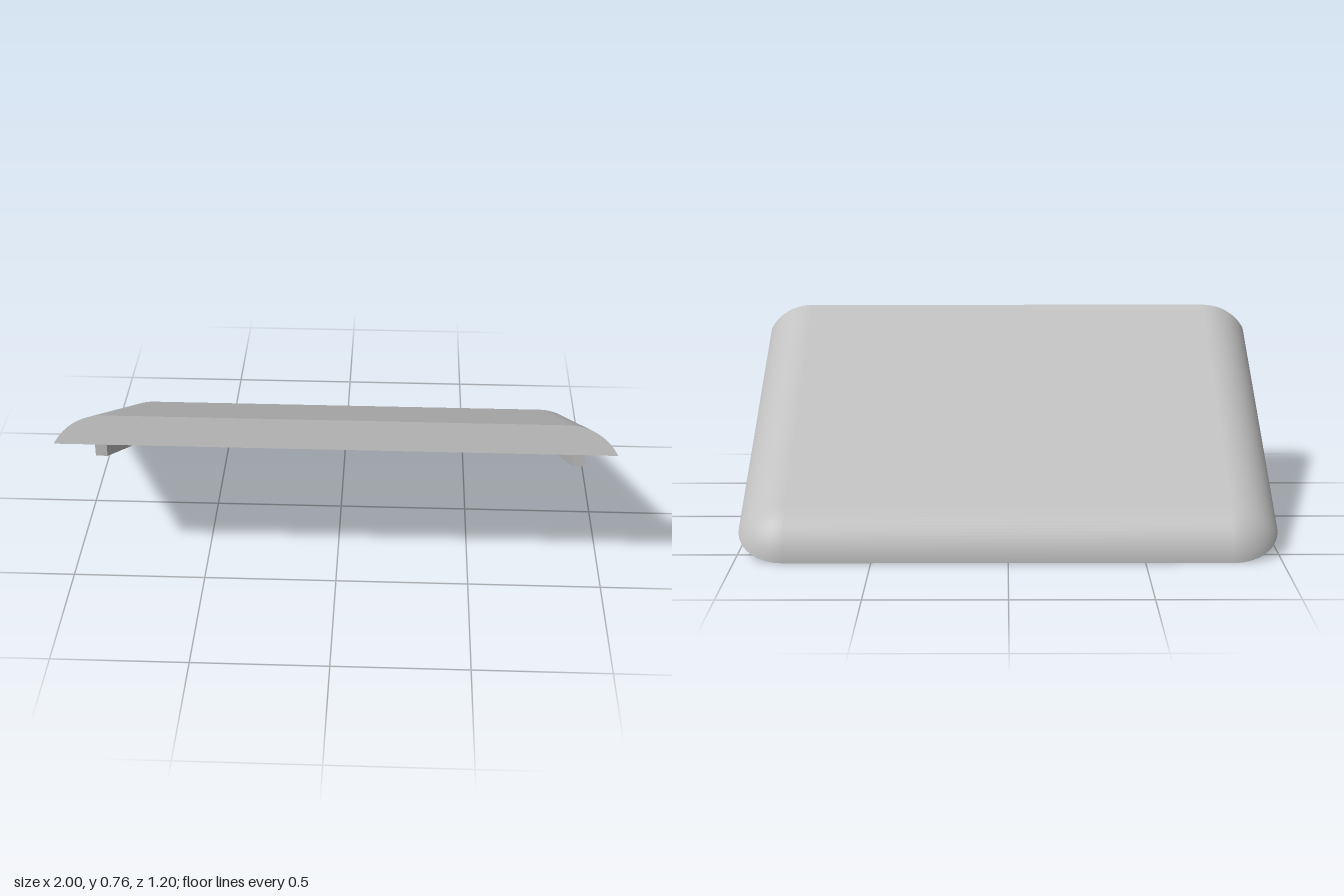
import * as THREE from 'three';

const TILT = Math.atan2(0.655, 1.2);      // slope of the panel
const LENGTH = Math.hypot(0.655, 1.2);    // underside length along the slope
const RADIUS = 0.2026;                    // rounding of the side and back edges
const ARC = Math.PI / 2 - TILT;           // rounding stops where the back edge is vertical
const INSET = RADIUS * Math.sin(ARC);
const RINGS = 16, CORNER = 16;

// Flat convex face from a ring of points, counter-clockwise seen from outside
function flatFace(points, material, name) {
  const pos = [];
  for (let i = 1; i < points.length - 1; i++) {
    for (const p of [points[0], points[i], points[i + 1]]) pos.push(p.x, p.y, p.z);
  }
  const geo = new THREE.BufferGeometry();
  geo.setAttribute('position', new THREE.Float32BufferAttribute(pos, 3));
  geo.computeVertexNormals();
  const mesh = new THREE.Mesh(geo, material);
  mesh.name = name;
  return mesh;
}

// Directions around the rim: front right, back right corner, back left corner, front left
function rimSteps() {
  const steps = [{ side: 1, phi: 0, front: true }];
  for (const side of [1, -1]) {
    for (let i = 0; i <= CORNER; i++) {
      const phi = (side > 0 ? i : CORNER + i) / CORNER * Math.PI / 2;
      steps.push({ side, phi, front: false });
    }
  }
  steps.push({ side: -1, phi: Math.PI, front: true });
  return steps;
}

function buildPanel(material) {
  const panel = new THREE.Group();
  panel.name = 'slopedPanel';
  const steps = rimSteps();
  const rings = [], pos = [], norm = [], index = [];

  // Rings rise from the underside outline to the flat top
  for (let j = 0; j <= RINGS; j++) {
    const theta = ARC * (1 - j / RINGS);
    const rho = RADIUS * Math.sin(theta);
    const h = RADIUS * (Math.cos(theta) - Math.cos(ARC));
    rings.push(steps.map(({ side, phi, front }) => {
      const z = front ? LENGTH + 0.243 * h : INSET - rho * Math.sin(phi);
      const p = new THREE.Vector3(side * (1 - INSET) + rho * Math.cos(phi), h, z);
      pos.push(p.x, p.y, p.z);
      norm.push(Math.cos(phi) * Math.sin(theta), Math.cos(theta), -Math.sin(phi) * Math.sin(theta));
      return p;
    }));
  }
  const n = steps.length;
  for (let j = 0; j < RINGS; j++) {
    for (let i = 0; i < n - 1; i++) {
      const a = j * n + i, b = a + 1, d = a + n, c = d + 1;
      index.push(a, b, c, a, c, d);
    }
  }
  const geo = new THREE.BufferGeometry();
  geo.setAttribute('position', new THREE.Float32BufferAttribute(pos, 3));
  geo.setAttribute('normal', new THREE.Float32BufferAttribute(norm, 3));
  geo.setIndex(index);
  const rim = new THREE.Mesh(geo, material);
  rim.name = 'roundedRim';

  // Flat faces closing the shell
  const top = rings[RINGS];
  const topCorners = [top[0], top[1], top[n - 2], top[n - 1]];
  const frontOutline = [...rings.map(r => r[0]), ...rings.map(r => r[n - 1]).reverse()];
  panel.add(
    rim,
    flatFace(topCorners, material, 'topFace'),
    flatFace([...rings[0]].reverse(), material, 'underside'),
    flatFace(frontOutline, material, 'frontFace'),
  );
  panel.rotation.x = -TILT;
  panel.position.z = -0.6;
  return panel;
}

// Runner under the panel: a slanted side outline with upright ends
function buildRunner(side, material) {
  const under = z => (z + 0.6) * Math.tan(TILT);
  const drop = 0.086, front = 0.225, back = -0.42, width = 0.045;
  const shape = new THREE.Shape([
    new THREE.Vector2(-front, under(front) - drop),
    new THREE.Vector2(-back, under(back) - drop),
    new THREE.Vector2(-back, under(back)),
    new THREE.Vector2(-front, under(front)),
  ]);
  const geo = new THREE.ExtrudeGeometry(shape, { depth: width, bevelEnabled: false });
  geo.translate(0, 0, -width / 2);
  geo.rotateY(Math.PI / 2);
  const runner = new THREE.Mesh(geo, material);
  runner.name = side > 0 ? 'leftRunner' : 'rightRunner';
  runner.position.x = side * 0.912;
  return runner;
}

export function createModel() {
  const grey = new THREE.MeshStandardMaterial({ color: 0xc0c0c0 });
  grey.name = 'light grey';
  const model = new THREE.Group();
  model.name = 'slopedCover';
  model.add(buildPanel(grey));
  for (const side of [1, -1]) model.add(buildRunner(side, grey));
  return model;
}
